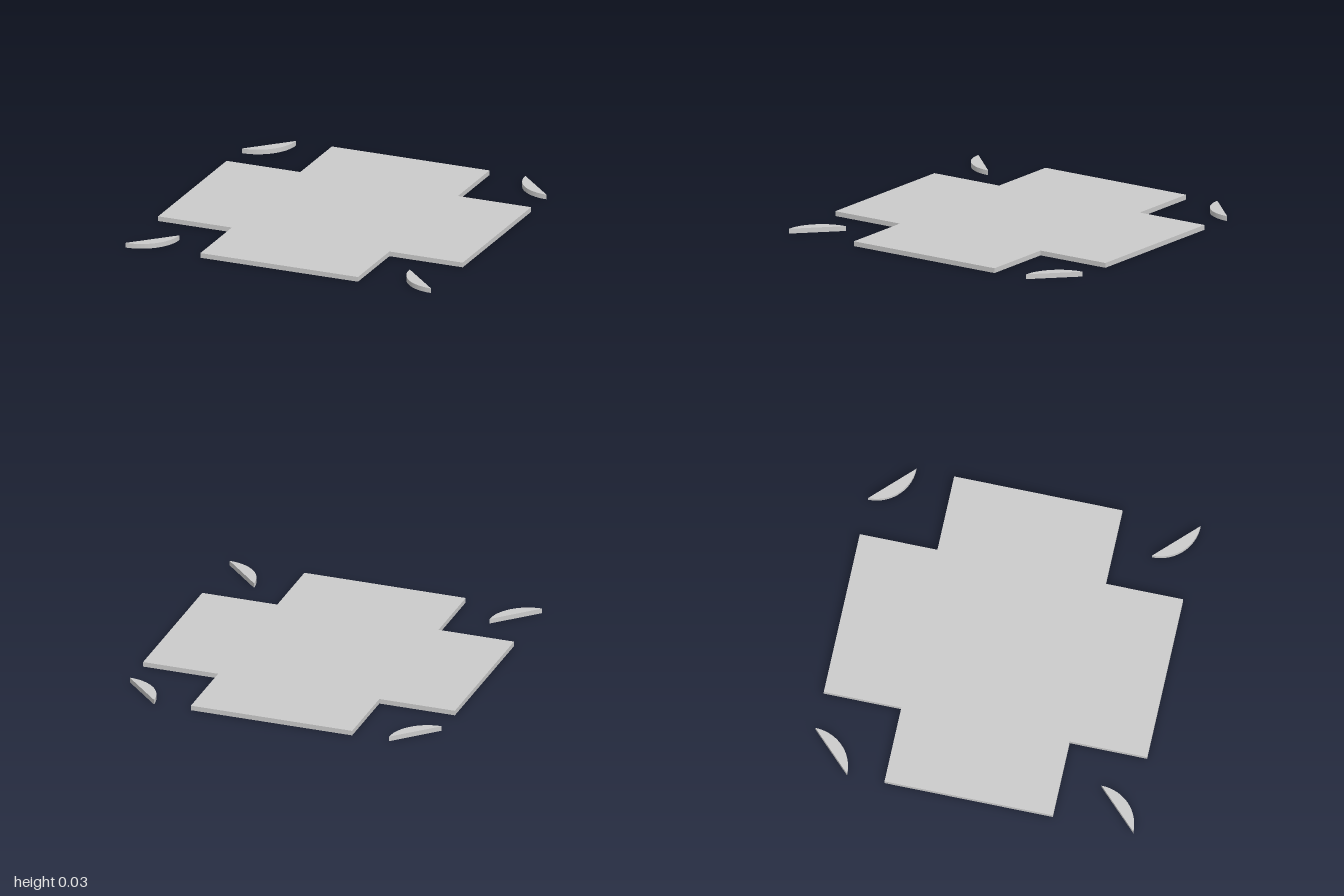
import * as THREE from 'three';

const THICKNESS = 0.03;
const material = new THREE.MeshStandardMaterial({ color: 0xcccccc });

// Flat plate lying on the ground, outlined in (x, -z)
function plate(name, shape) {
  const geometry = new THREE.ExtrudeGeometry(shape, { depth: THICKNESS, bevelEnabled: false, curveSegments: 24 });
  geometry.rotateX(-Math.PI / 2);
  const mesh = new THREE.Mesh(geometry, material);
  mesh.name = name;
  return mesh;
}

// Quarter disc with its square corner at (x, z), bulging towards the front and the middle
function quarterDisc(name, x, z, radius) {
  const start = x < 0 ? -Math.PI / 2 : Math.PI;
  const shape = new THREE.Shape();
  shape.moveTo(x, -z);
  shape.absarc(x, -z, radius, start, start + Math.PI / 2, false);
  shape.closePath();
  return plate(name, shape);
}

export function createModel() {
  const group = new THREE.Group();
  group.name = 'crossPlateWithCorners';

  // Cross: the long arm runs along z, the wide arm along x
  const left = -0.995, right = 0.992, armX = 0.514;
  const back = -1, front = 0.98, armBack = -0.525, armFront = 0.506;
  const outline = [
    [-armX, front], [armX, front], [armX, armFront], [right, armFront],
    [right, armBack], [armX, armBack], [armX, back], [-armX, back],
    [-armX, armBack], [left, armBack], [left, armFront], [-armX, armFront],
  ];
  group.add(plate('crossPlate', new THREE.Shape(outline.map(([x, z]) => new THREE.Vector2(x, -z)))));

  // Loose quarter discs in the four corners
  const corners = [
    ['backRightCorner', left, back, 0.246],
    ['backLeftCorner', right, back, 0.243],
    ['frontRightCorner', left, 0.752, 0.246],
    ['frontLeftCorner', right, 0.738, 0.245],
  ];
  for (const corner of corners) group.add(quarterDisc(...corner));

  return group;
}
